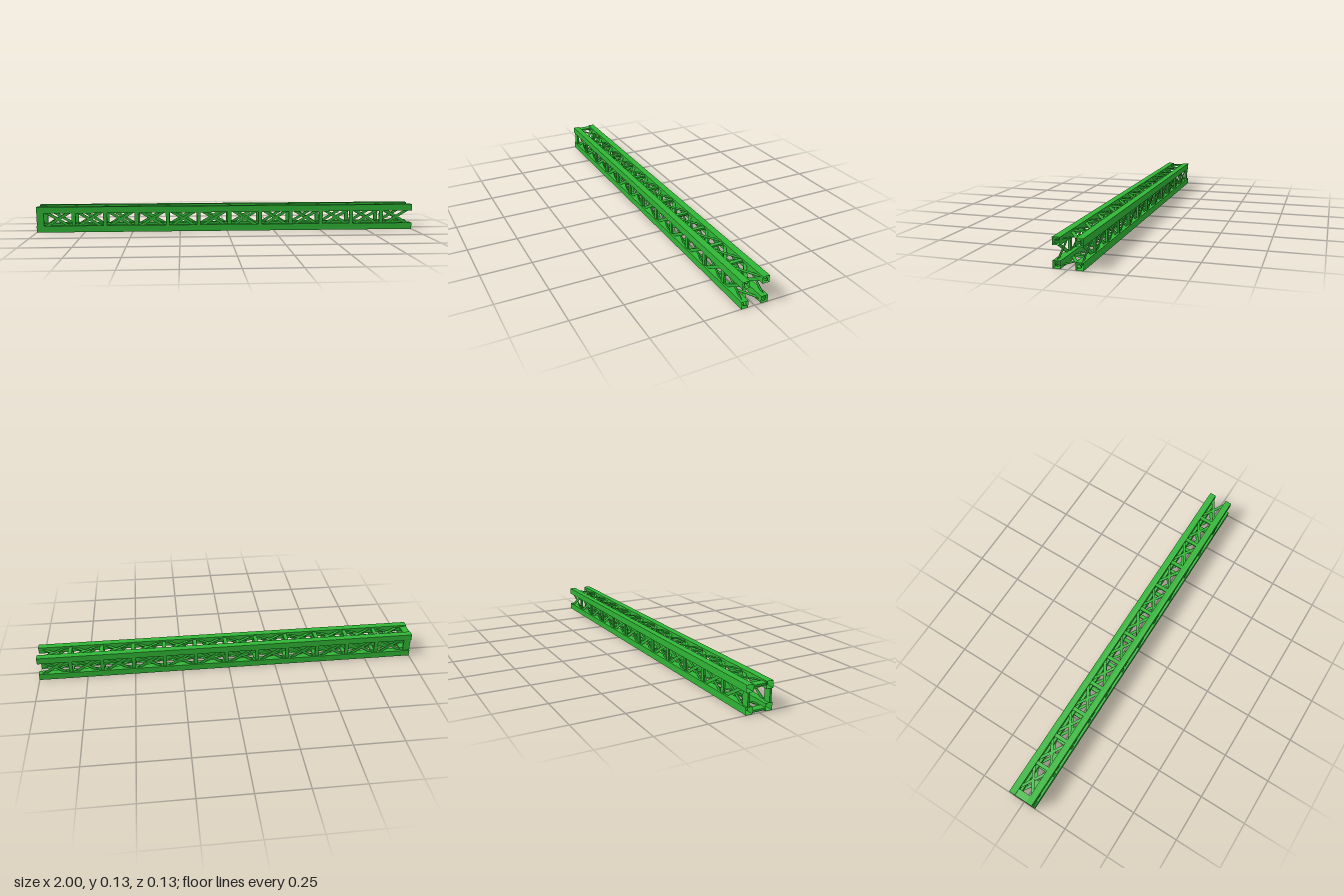
import * as THREE from 'three';

const HALF = 0.067;      // half the height and depth of the truss
const CHORD = 0.034;     // side of the square corner tubes
const PLANE = 0.056;     // distance of the lattice from the centre line
const BAYS = 12;
const START = -0.973;
const PITCH = 0.1642;

export function createModel() {
  const model = new THREE.Group();
  model.name = 'latticeTruss';
  const material = new THREE.MeshStandardMaterial({ color: 0x2fb535, flatShading: true, side: THREE.DoubleSide });

  const add = (parent, geometry, name) => {
    const mesh = new THREE.Mesh(geometry, material);
    mesh.name = name;
    parent.add(mesh);
    return mesh;
  };

  // Four open-ended square tubes along the corners
  const chord = new THREE.CylinderGeometry(CHORD / Math.SQRT2, CHORD / Math.SQRT2, 2, 4, 1, true);
  chord.rotateY(Math.PI / 4).rotateZ(Math.PI / 2);
  const c = HALF - CHORD / 2;
  for (const y of [-c, c]) {
    for (const z of [-c, c]) add(model, chord, 'cornerChord').position.set(0, HALF + y, z);
  }

  // Flat strap running between chord centres; bow bends its middle inward
  const angle = Math.atan2(2 * c, PITCH);
  const length = Math.hypot(2 * c, PITCH);
  const strap = (bow) => {
    const g = new THREE.BoxGeometry(length, 0.015, 0.002, bow ? 10 : 1, 1, 1);
    const p = g.attributes.position;
    for (let i = 0; i < p.count; i++) {
      const t = (2 * p.getX(i)) / length;
      p.setZ(i, p.getZ(i) - bow * (1 - t * t));
    }
    g.computeVertexNormals();
    return g;
  };
  const flatStrap = strap(0);
  const bowedStrap = strap(0.004);

  // The same lattice on all four sides
  const span = 2 * (HALF - CHORD);
  const endPost = new THREE.BoxGeometry(0.037, span, 0.01);
  const post = new THREE.BoxGeometry(0.02, span, 0.01);
  for (let side = 0; side < 4; side++) {
    const lattice = new THREE.Group();
    lattice.name = 'sideLattice';
    lattice.position.y = HALF;
    lattice.rotation.x = (side * Math.PI) / 2;
    model.add(lattice);

    add(lattice, endPost, 'endPost').position.set(-0.9815, 0, PLANE);
    for (let i = 0; i < BAYS; i++) {
      const x = START + i * PITCH;
      if (i > 0) add(lattice, post, 'post').position.set(x, 0, PLANE);
      // Crossed braces
      const a = add(lattice, flatStrap, 'diagonalBrace');
      const b = add(lattice, bowedStrap, 'bowedDiagonalBrace');
      a.position.set(x + PITCH / 2, 0, PLANE);
      b.position.copy(a.position);
      a.rotation.z = angle;
      b.rotation.z = -angle;
    }
  }
  return model;
}
